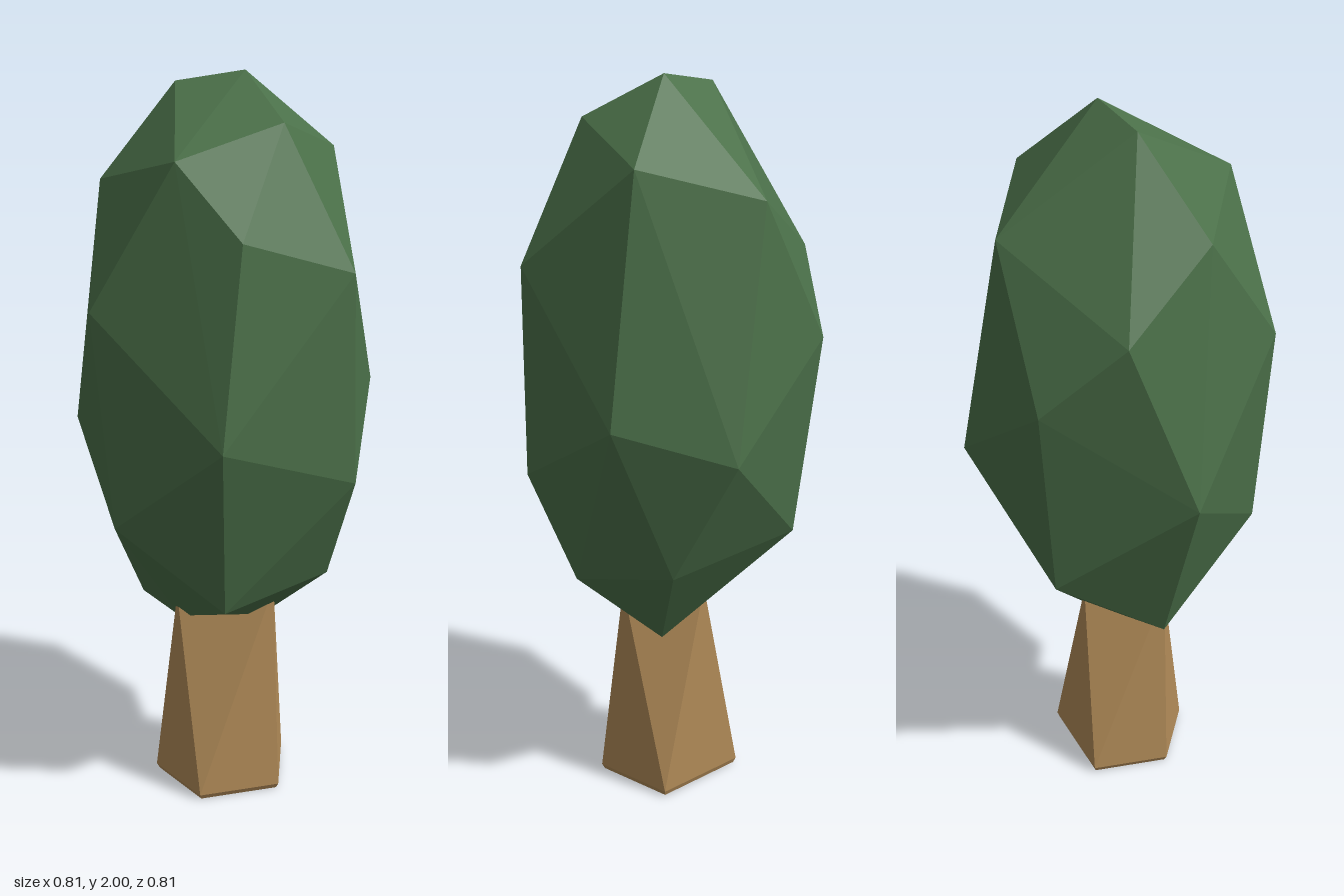
import * as THREE from 'three';
import { ConvexGeometry } from 'three/addons/geometries/ConvexGeometry.js';

const foliage = new THREE.MeshStandardMaterial({ color: 0x4b7049, flatShading: true });
foliage.name = 'foliage green';
const bark = new THREE.MeshStandardMaterial({ color: 0xb08a57, flatShading: true });
bark.name = 'bark brown';

// Faceted solid wrapped around a few corner points
function facetedSolid(name, corners, material) {
  const points = corners.map((c) => new THREE.Vector3(...c));
  const mesh = new THREE.Mesh(new ConvexGeometry(points), material);
  mesh.name = name;
  return mesh;
}

export function createModel() {
  const tree = new THREE.Group();
  tree.name = 'tree';

  // Crown: irregular rings of corners from the tip down
  const tip = [[0.05, 2, 0.005], [-0.105, 1.97, -0.09], [0.065, 1.89, 0.215]];
  const shoulder = [
    [0.295, 1.8, 0.025], [-0.22, 1.81, 0.21], [-0.31, 1.73, -0.1],
    [0.18, 1.715, -0.28], [-0.105, 1.63, 0.36],
  ];
  const upperBelt = [
    [0.205, 1.53, 0.345], [-0.205, 1.53, -0.33], [-0.41, 1.43, 0.095], [0, 1.33, -0.41],
  ];
  const lowerBelt = [
    [0.405, 1.165, 0.065], [-0.175, 1.12, 0.405], [0.33, 1.07, -0.245],
    [-0.355, 1.055, -0.225], [0.225, 0.97, 0.34],
  ];
  const underside = [
    [-0.365, 0.85, 0.12], [0, 0.775, -0.345], [0.29, 0.73, -0.07],
    [0.21, 0.67, 0.215], [-0.11, 0.62, 0.26],
  ];
  const base = [[-0.21, 0.55, -0.11], [-0.13, 0.49, -0.03], [0.11, 0.465, 0]];
  tree.add(facetedSolid('crown',
    [...tip, ...shoulder, ...upperBelt, ...lowerBelt, ...underside, ...base], foliage));

  // Trunk: five-sided foot with a small bevel, narrowing to three corners in the crown
  const foot = [[0.19, -0.025], [0.085, 0.187], [-0.145, 0.16], [-0.2, -0.05], [-0.03, -0.192]];
  const rim = foot.map(([x, z]) => [x, 0.015, z]);
  const sole = foot.map(([x, z]) => [x * 0.96, 0, z * 0.96]);
  const neck = [[0.096, 0.6, 0.114], [0.044, 0.6, -0.106], [-0.153, 0.58, 0.012]];
  tree.add(facetedSolid('trunk', [...sole, ...rim, ...neck], bark));

  return tree;
}
